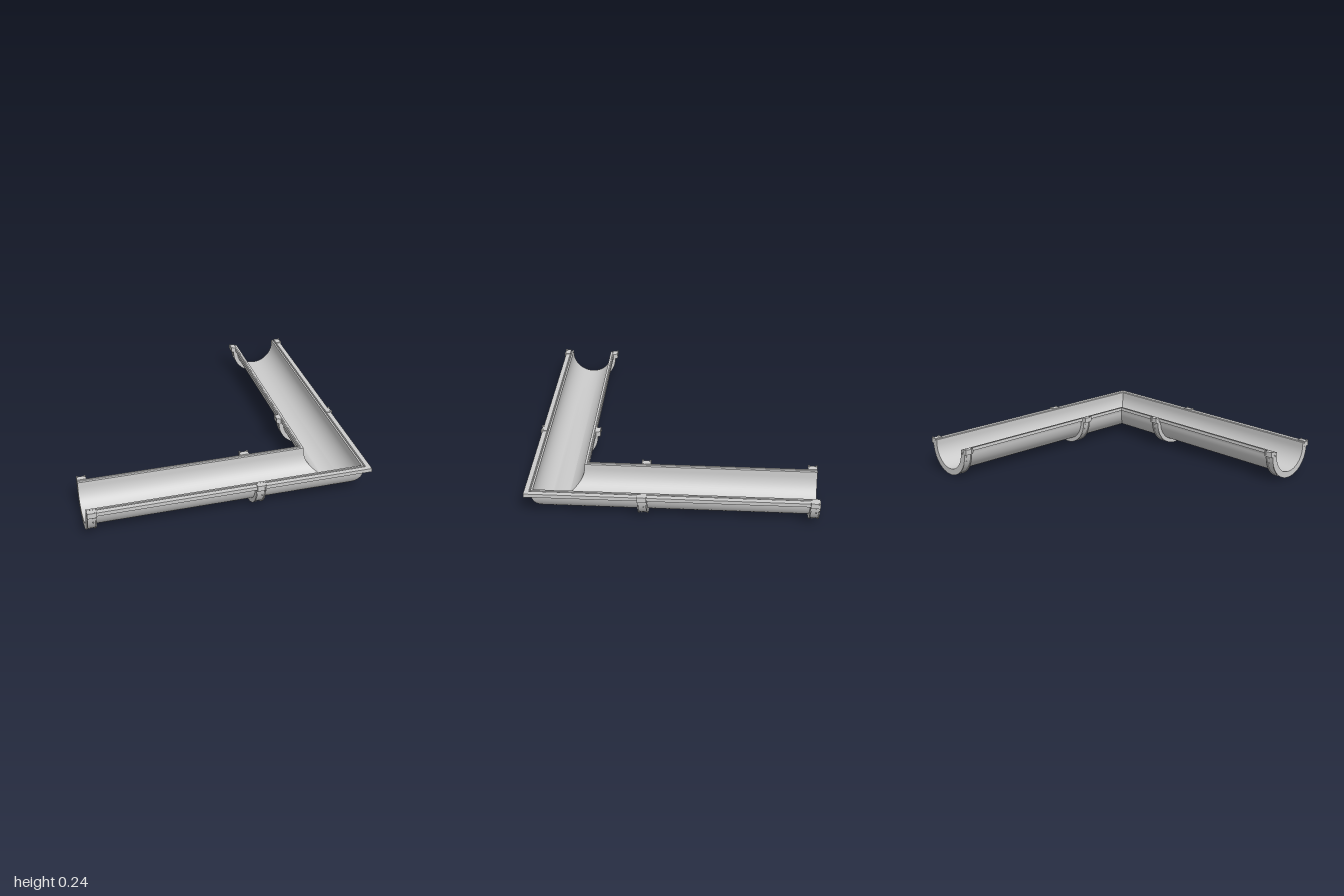
import * as THREE from 'three';
import { toCreasedNormals } from 'three/addons/utils/BufferGeometryUtils.js';

const CU = 0.78, CY = 0.205; // centre of the round trough in its cross-section
const mat = new THREE.MeshStandardMaterial({ color: 0xcccccc, side: THREE.DoubleSide });

// Half-circle points below the centre, from angle a0 to a1
function arc(r, a0, a1, n = 32) {
  return Array.from({ length: n + 1 }, (_, i) => {
    const a = a0 + (a1 - a0) * i / n;
    return new THREE.Vector2(CU + r * Math.cos(a), CY + r * Math.sin(a));
  });
}

function mesh(name, geometry) {
  const m = new THREE.Mesh(geometry, mat);
  m.name = name;
  return m;
}

// Closed gutter section: outer skin, front bead, inner skin, rear bead
function gutterProfile() {
  const v = (u, y) => new THREE.Vector2(u, y);
  return [
    ...arc(0.168, Math.PI, Math.PI * 2),
    v(0.955, 0.211), v(0.99, 0.211), v(0.99, 0.238), v(0.957, 0.238),
    v(0.954, 0.228), v(0.95, 0.228), v(0.947, 0.238), v(0.934, 0.238),
    ...arc(0.154, Math.PI * 2, Math.PI),
    v(0.624, 0.235), v(0.608, 0.235), v(0.604, 0.239), v(0.596, 0.239),
    v(0.594, 0.216), v(0.608, 0.214),
  ];
}

// Sweep the section along both legs with a mitre at the corner
function gutterGeometry() {
  const p = gutterProfile(), n = p.length;
  const stations = [
    q => [-1, q.y, q.x],
    q => [q.x, q.y, q.x],
    q => [q.x, q.y, -1],
  ];
  const pos = stations.flatMap(s => p.flatMap(s));
  const index = [];
  for (let s = 0; s < 2; s++) {
    for (let i = 0; i < n; i++) {
      const a = s * n + i, b = s * n + (i + 1) % n;
      index.push(a, a + n, b, b, a + n, b + n);
    }
  }
  // End faces
  for (const [a, b, c] of THREE.ShapeUtils.triangulateShape(p, [])) {
    index.push(a, b, c, 2 * n + a, 2 * n + c, 2 * n + b);
  }
  const g = new THREE.BufferGeometry();
  g.setAttribute('position', new THREE.Float32BufferAttribute(pos, 3));
  g.setIndex(index);
  return toCreasedNormals(g, 0.5);
}

// Curved strap of given radii and width, centred on z = 0
function strapGeometry(r0, r1, width) {
  const shape = new THREE.Shape([...arc(r1, Math.PI, Math.PI * 2), ...arc(r0, Math.PI * 2, Math.PI)]);
  const g = new THREE.ExtrudeGeometry(shape, { depth: width, bevelEnabled: false });
  g.translate(0, 0, -width / 2);
  return toCreasedNormals(g, 0.5);
}

function box(name, u0, u1, y0, y1, width, z = 0) {
  const m = mesh(name, new THREE.BoxGeometry(u1 - u0, y1 - y0, width));
  m.position.set((u0 + u1) / 2, (y0 + y1) / 2, z);
  return m;
}

// Support bracket: strap with raised edges, rivets and clips over both beads
function createBracket() {
  const g = new THREE.Group();
  g.name = 'bracket';
  g.add(mesh('strap', strapGeometry(0.168, 0.194, 0.064)));
  for (const s of [-1, 1]) {
    const rail = mesh('strapEdge', strapGeometry(0.168, 0.2, 0.008));
    rail.position.z = s * 0.029;
    g.add(rail);
    // Raised ears of the clips
    g.add(box('rearEar', 0.56, 0.572, 0.215, 0.248, 0.012, s * 0.026));
    g.add(box('frontEar', 0.985, 1, 0.205, 0.247, 0.012, s * 0.026));
  }
  g.add(box('rearClip', 0.564, 0.602, 0.205, 0.243, 0.064));
  g.add(box('frontClip', 0.955, 0.996, 0.203, 0.243, 0.064));
  for (const a of [0.1, 0.3, 0.9, 1.2]) {
    for (const angle of [-a, a - Math.PI]) {
      const rivet = mesh('rivet', new THREE.CylinderGeometry(0.005, 0.005, 0.008, 10));
      rivet.position.set(CU + 0.195 * Math.cos(angle), CY + 0.195 * Math.sin(angle), a > 0.5 ? 0.01 : -0.01);
      rivet.rotation.z = angle - Math.PI / 2;
      g.add(rivet);
    }
  }
  return g;
}

export function createModel() {
  const model = new THREE.Group();
  model.name = 'cornerGutter';
  model.add(mesh('gutter', gutterGeometry()));

  // Two brackets on each leg
  for (const along of [-0.967, 0.192]) {
    const side = createBracket();
    side.name = 'sideLegBracket';
    side.position.z = along;
    const front = createBracket();
    front.name = 'frontLegBracket';
    front.rotation.y = -Math.PI / 2;
    front.position.x = along;
    model.add(side, front);
  }
  return model;
}
